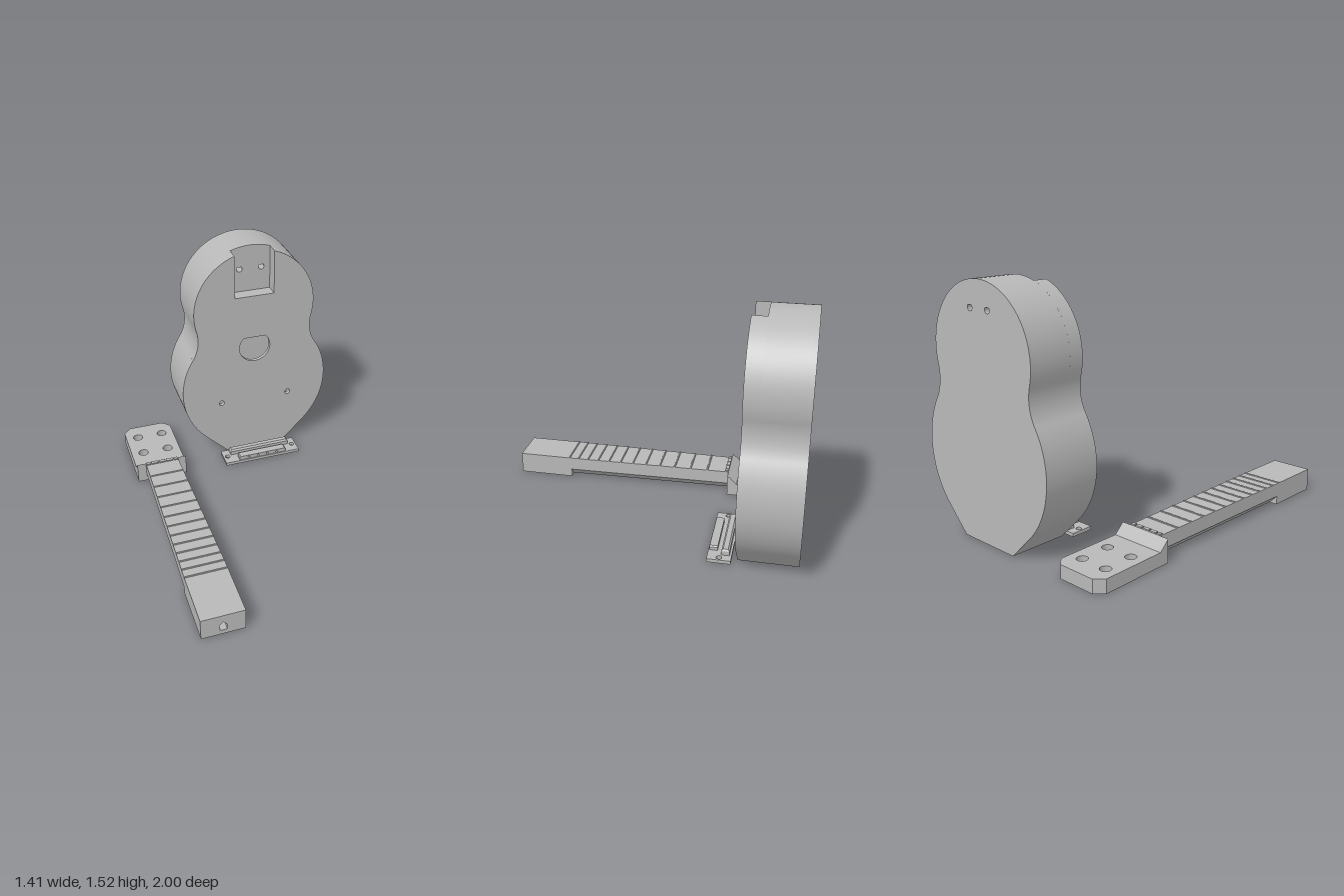
import * as THREE from 'three';
import { toCreasedNormals } from 'three/addons/utils/BufferGeometryUtils.js';

const PI = Math.PI;
const grey = new THREE.MeshStandardMaterial({ color: 0xb8b8b8 });
grey.name = 'plain grey';

function part(parent, name, geo, x = 0, y = 0, z = 0) {
  const mesh = new THREE.Mesh(toCreasedNormals(geo, 0.5), grey);
  mesh.name = name;
  mesh.position.set(x, y, z);
  parent.add(mesh);
  return mesh;
}
const extrude = (shape, depth) =>
  new THREE.ExtrudeGeometry(shape, { depth, bevelEnabled: false, curveSegments: 28 });
// Plan shapes use (x, -z) and rise along y; side profiles use (-z, y) and run along x
const rise = (shape, height) => extrude(shape, height).rotateX(-PI / 2);
const across = (shape, width) => extrude(shape, width).translate(0, 0, -width / 2).rotateY(PI / 2);
const poly = (...pts) => new THREE.Shape(pts.map(([x, y]) => new THREE.Vector2(x, y)));
const rect = (x0, y0, x1, y1) => poly([x0, y0], [x1, y0], [x1, y1], [x0, y1]);

function circle(x, y, r) {
  const p = new THREE.Path();
  p.absarc(x, y, r, 0, 2 * PI, false);
  return p;
}
function teardrop(x, y, r) {
  const p = new THREE.Path();
  p.moveTo(x, y + r * Math.SQRT2);
  p.absarc(x, y, r, PI * 0.75, PI * 2.25, false);
  p.closePath();
  return p;
}

// Figure-eight outline from tangent arcs; inset shrinks it, top picks how it ends
function outline(inset, top) {
  const lowY = 0.515, topY = 1.107, lowR = 0.516 - inset, topR = 0.416 - inset;
  const waistX = 0.664, waistY = 0.9353, waistR = 0.27 + inset;
  const a = Math.atan2(waistY - lowY, waistX), b = Math.atan2(waistY - topY, waistX);
  const k = lowR * Math.SQRT1_2, foot = k - (lowY - k - inset);
  const s = new THREE.Shape();
  s.moveTo(-foot, inset);
  s.lineTo(foot, inset);
  s.absarc(0, lowY, lowR, -PI / 4, a, false);
  s.absarc(waistX, waistY, waistR, PI + a, PI + b, true);
  if (top === 'round') {
    s.absarc(0, topY, topR, b, PI - b, false);
  } else {
    const end = top === 'pocket' ? Math.acos(0.135 / topR) : Math.asin((1.15 - topY) / topR);
    s.absarc(0, topY, topR, b, end, false);
    if (top === 'pocket') {
      s.lineTo(0.135, 1.203);
      s.lineTo(-0.135, 1.203);
    }
    s.absarc(0, topY, topR, PI - end, PI - b, false);
  }
  s.absarc(-waistX, waistY, waistR, -b, -a, true);
  s.absarc(0, lowY, lowR, PI - a, PI * 1.25, false);
  s.closePath();
  return s;
}

function makeBody() {
  const g = new THREE.Group();
  g.name = 'body';
  const layer = (name, z, depth, top, holes) => {
    const s = outline(0, top);
    s.holes.push(...holes);
    part(g, name, extrude(s, depth), 0, 0, z);
  };
  const screws = () => [-0.075, 0.075].map(x => teardrop(x, 1.363, 0.02));
  const cavity = () => outline(0.025, 'flat');
  layer('backPlate', 0, 0.025, 'round', screws());
  layer('sideWalls', 0.025, 0.25, 'round', [cavity(), ...screws()]);
  layer('pocketWalls', 0.275, 0.065, 'pocket', [cavity()]);
  layer('soundboard', 0.34, 0.025, 'pocket',
    [teardrop(0, 0.82, 0.108), circle(-0.243, 0.41, 0.019), circle(0.243, 0.41, 0.019)]);
  // Inner block with a sloping underside, seen through the sound hole
  part(g, 'innerBlock', across(poly([-0.02, 0.795], [-0.02, 1.16], [-0.16, 1.16], [-0.16, 0.825]), 0.74));
  g.position.set(0.188, 0, -1);
  return g;
}

function makeNeck() {
  const g = new THREE.Group();
  g.name = 'neck';
  const top = 0.142, z0 = -0.475, z1 = 0.635;
  const half = z => 0.111 + 0.021 * (z - z0) / (z1 - z0);

  // Headstock with clipped corners and four tuner holes
  const head = poly([-0.17, -z0], [0.17, -z0], [0.17, 0.95], [0.12, 1], [-0.12, 1], [-0.17, 0.95]);
  for (const x of [-0.087, 0.087])
    for (const y of [0.683, 0.873]) head.holes.push(circle(x, y, 0.033));
  part(g, 'headstock', rise(head, 0.083));
  part(g, 'headstockSlope', across(poly([-z0, 0.083], [0.537, 0.083], [-z0, top]), 0.34));

  // Tapered neck with a bevelled underside
  const bar = extrude(poly([-0.945, 0], [0.945, 0], [1, 0.055], [1, top], [-1, top], [-1, 0.055]), z1 - z0)
    .translate(0, 0, z0);
  const p = bar.attributes.position;
  for (let i = 0; i < p.count; i++) {
    const x = p.getX(i), h = half(p.getZ(i));
    const w = Math.abs(x) < 0.99 ? h - 0.055 : h;
    p.setX(i, Math.sign(x) * w);
  }
  bar.computeVertexNormals();
  part(g, 'neckBar', bar);

  // Heel: screw holes below, house-shaped rod channel in the end
  const sole = rect(-0.132, -1, 0.132, -z1);
  sole.holes.push(circle(-0.075, -0.837, 0.014), circle(0.075, -0.837, 0.014));
  part(g, 'heelSole', rise(sole, 0.03));
  part(g, 'heel', extrude(poly([-0.132, 0.03], [-0.022, 0.03], [-0.022, 0.07], [0, 0.092], [0.022, 0.07],
    [0.022, 0.03], [0.132, 0.03], [0.132, top], [-0.132, top]), 1 - z1), 0, 0, z1);

  // Twelve frets, each a twelfth-root step along the string
  for (let n = 1; n <= 12; n++) {
    const z = -0.452 + 2.204 * (1 - 2 ** (-n / 12));
    part(g, 'fret', new THREE.CylinderGeometry(0.007, 0.007, 2 * half(z), 8).rotateZ(PI / 2), 0, top - 0.001, z);
  }
  // Nut split by four string slots
  const cuts = [-0.111, -0.078, -0.026, 0.026, 0.078, 0.111];
  for (let i = 0; i < 5; i++)
    part(g, 'nut', new THREE.BoxGeometry(cuts[i + 1] - cuts[i] - 0.008, 0.02, 0.023),
      (cuts[i] + cuts[i + 1]) / 2, 0.14, -0.463);
  g.position.x = -0.54;
  return g;
}

function makeBridge() {
  const g = new THREE.Group();
  g.name = 'bridge';
  const base = rect(-0.272, 0.452, 0.272, 0.598);
  base.holes.push(circle(-0.243, 0.525, 0.017), circle(0.243, 0.525, 0.017));
  part(g, 'bridgePlate', rise(base, 0.022));
  // Saddle ridge, drawn in toward its top
  const saddle = new THREE.BoxGeometry(0.43, 0.04, 0.05, 1, 2, 1);
  const p = saddle.attributes.position;
  for (let i = 0; i < p.count; i++) {
    const y = p.getY(i);
    if (y > 0.01) p.setXYZ(i, p.getX(i) * 0.965, y, p.getZ(i) * 0.6);
    else if (y > -0.01) p.setY(i, 0.008);
  }
  saddle.computeVertexNormals();
  part(g, 'saddle', saddle, 0, 0.041, -0.56);
  // Tie bar pierced by four string holes
  const tie = poly([-0.172, 0.02], [0.172, 0.02], [0.172, 0.042], [0.165, 0.05], [-0.165, 0.05], [-0.172, 0.042]);
  for (let i = 0; i < 4; i++) tie.holes.push(circle(-0.105 + i * 0.07, 0.034, 0.008));
  part(g, 'tieBar', extrude(tie, 0.05), 0, 0, -0.508);
  g.position.x = 0.188;
  return g;
}

export function createModel() {
  const model = new THREE.Group();
  model.name = 'ukuleleKit';
  model.add(makeBody(), makeNeck(), makeBridge());
  return model;
}
